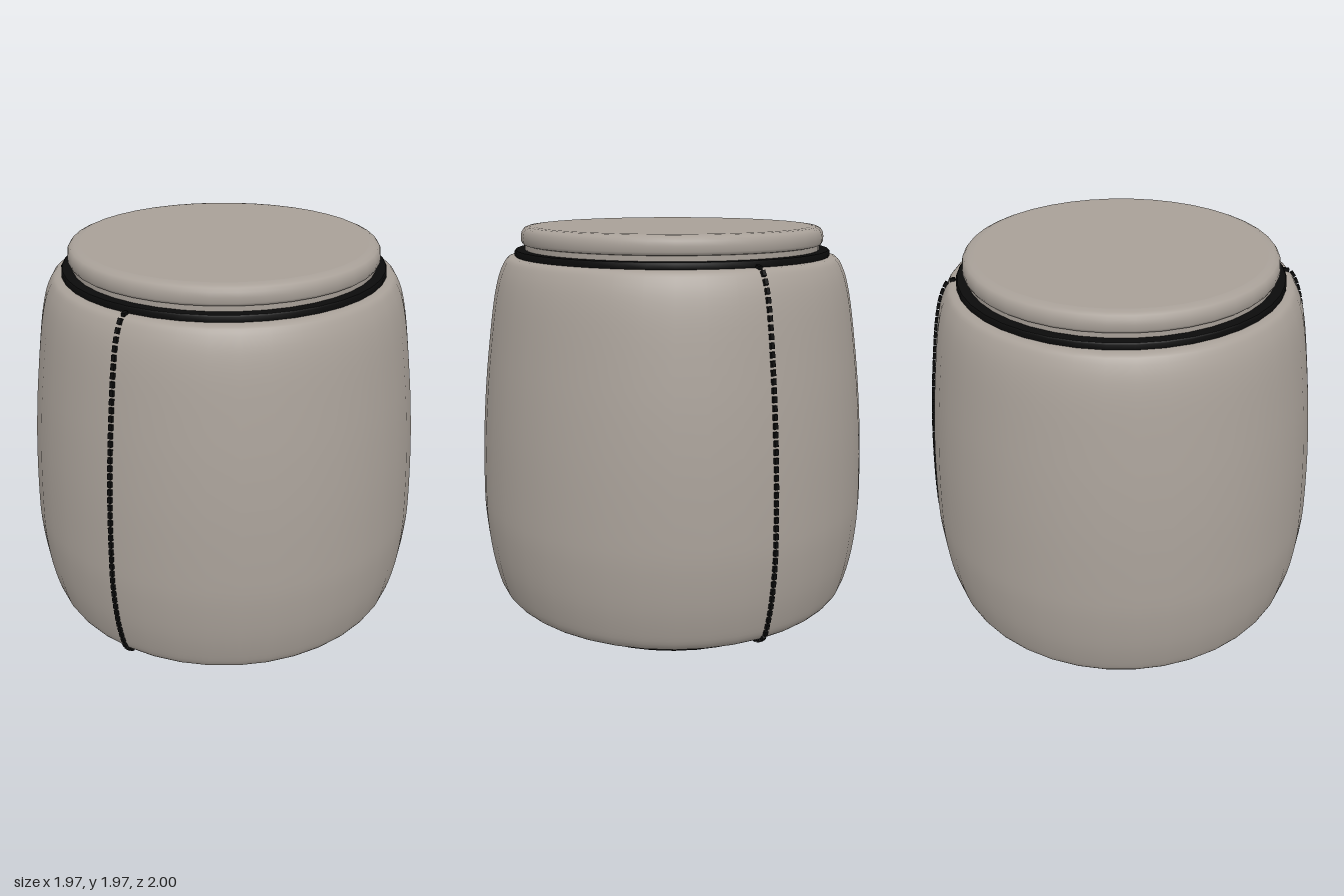
import * as THREE from 'three';

const SIDES = 40;

// Revolves [radius, y] pairs; a repeated pair makes a sharp edge.
function lathe(name, pairs, material) {
  const points = pairs.map(([r, y]) => new THREE.Vector2(r, y));
  const mesh = new THREE.Mesh(new THREE.LatheGeometry(points, SIDES), material);
  mesh.name = name;
  return mesh;
}

export function createModel() {
  const model = new THREE.Group();
  model.name = 'pouf';

  const fabric = new THREE.MeshStandardMaterial({ color: 0xa8a098 });
  fabric.name = 'taupe fabric';
  const black = new THREE.MeshStandardMaterial({ color: 0x0b0b0b });
  black.name = 'black trim';

  // Bulging upholstered body
  const profile = new THREE.SplineCurve([
    [0.82, 0.09], [0.87, 0.1], [0.91, 0.135], [0.935, 0.2], [0.965, 0.34], [0.983, 0.52], [0.984, 0.68],
    [0.972, 0.95], [0.95, 1.2], [0.925, 1.4], [0.895, 1.6], [0.868, 1.72], [0.84, 1.79], [0.815, 1.823], [0.78, 1.83],
  ].map(([r, y]) => new THREE.Vector2(r, y)));
  const rows = profile.getPoints(42).map((p) => [p.x, p.y]);
  model.add(lathe('body', [...rows, [0.7, 1.83]], fabric));

  // Black underside, plinth and the round plate in its middle
  model.add(lathe('underside', [[0.7, 0.088], [0.82, 0.088], [0.82, 0.088], [0.82, 0.094]], black));
  model.add(lathe('plinth', [
    [0.317, 0], [0.7, 0], [0.7, 0], [0.71, 0.01], [0.71, 0.01], [0.71, 0.09],
  ], black));
  const plate = new THREE.Mesh(new THREE.CircleGeometry(0.317, SIDES), fabric);
  plate.name = 'basePlate';
  plate.rotation.x = Math.PI / 2;
  model.add(plate);

  // Black piping ring under the lid
  model.add(lathe('trimRing', [
    [0.7, 1.826], [0.776, 1.826], [0.776, 1.826], [0.782, 1.832], [0.782, 1.854], [0.776, 1.86],
    [0.776, 1.86], [0.7, 1.86],
  ], black));

  // Padded lid on a short neck
  model.add(lathe('lid', [
    [0.73, 1.855], [0.73, 1.884], [0.73, 1.884], [0.74, 1.887], [0.747, 1.9], [0.748, 1.925], [0.744, 1.947],
    [0.733, 1.962], [0.715, 1.97], [0.69, 1.973], [0.69, 1.973], [0, 1.973],
  ], fabric));

  // Stitched seams down the front and back
  const count = 48;
  const stitchGeometry = new THREE.BoxGeometry(0.018, 0.027, 0.028);
  for (const [name, turn] of [['frontSeam', 0], ['backSeam', Math.PI]]) {
    const seam = new THREE.Group();
    seam.name = name;
    seam.rotation.y = turn;
    for (let i = 0; i < count; i++) {
      const u = (i + 0.5) / count;
      const p = profile.getPointAt(u);
      const t = profile.getTangentAt(u);
      const stitch = new THREE.Mesh(stitchGeometry, black);
      stitch.name = 'stitch';
      stitch.position.set(0, p.y, p.x);
      stitch.rotation.x = Math.atan2(t.x, t.y);
      seam.add(stitch);
    }
    model.add(seam);
  }
  return model;
}
